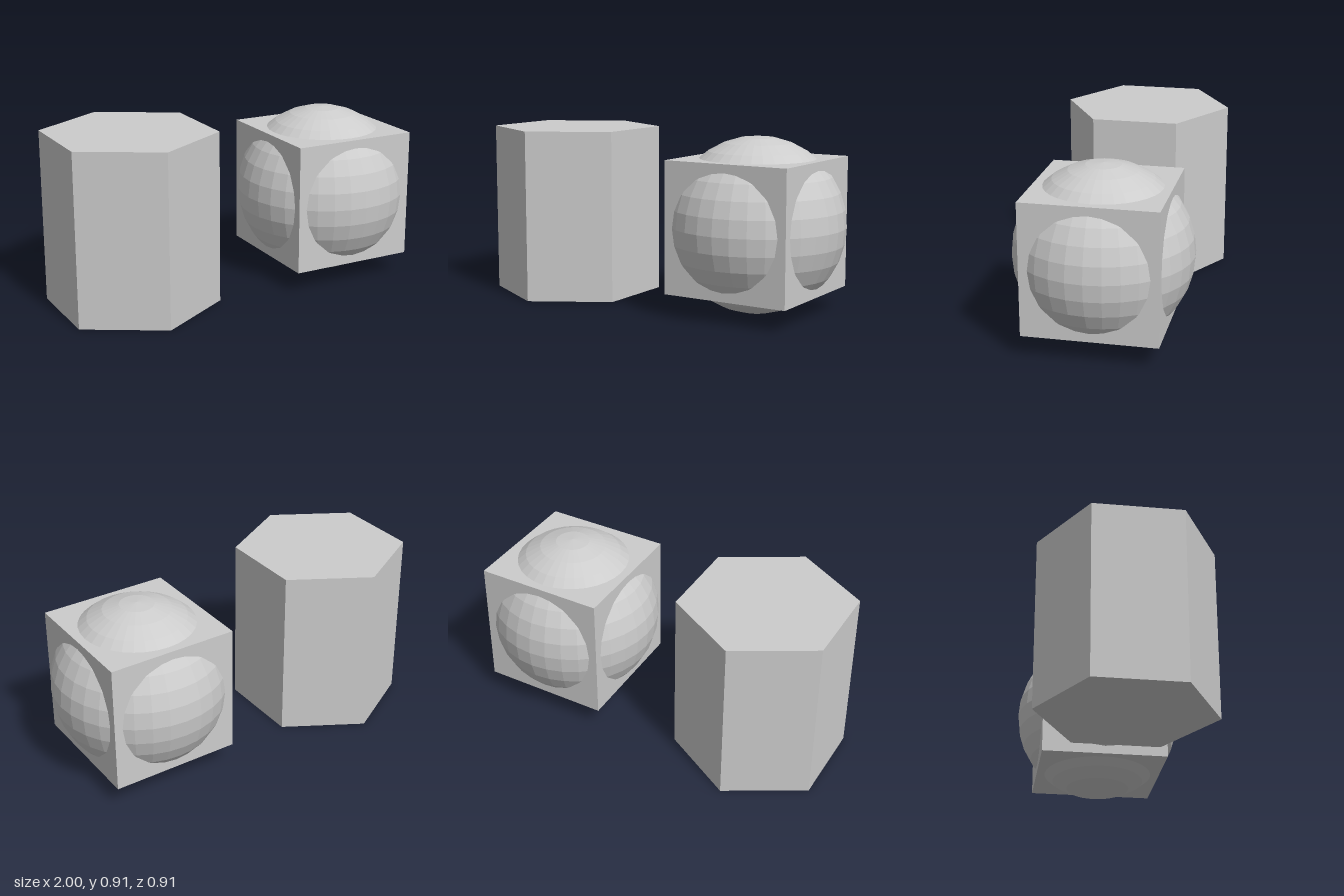
import * as THREE from 'three';

export function createModel() {
  const model = new THREE.Group();
  const grey = new THREE.MeshStandardMaterial({ color: 0xcccccc, flatShading: true });
  grey.name = 'light grey';

  const R = 0.457; // shared radius; the prism is two radii tall

  function add(name, geometry, x) {
    const mesh = new THREE.Mesh(geometry, grey);
    mesh.name = name;
    mesh.position.set(x, R, 0);
    model.add(mesh);
  }

  // Hexagonal prism with corners facing front and back
  add('hexagonalPrism', new THREE.CylinderGeometry(R, R, 2 * R, 6), -0.604);

  // Cube with a faceted ball bulging through all six faces
  add('cube', new THREE.BoxGeometry(0.686, 0.686, 0.686), 0.543);
  add('ball', new THREE.SphereGeometry(R, 32, 16), 0.543);

  return model;
}
